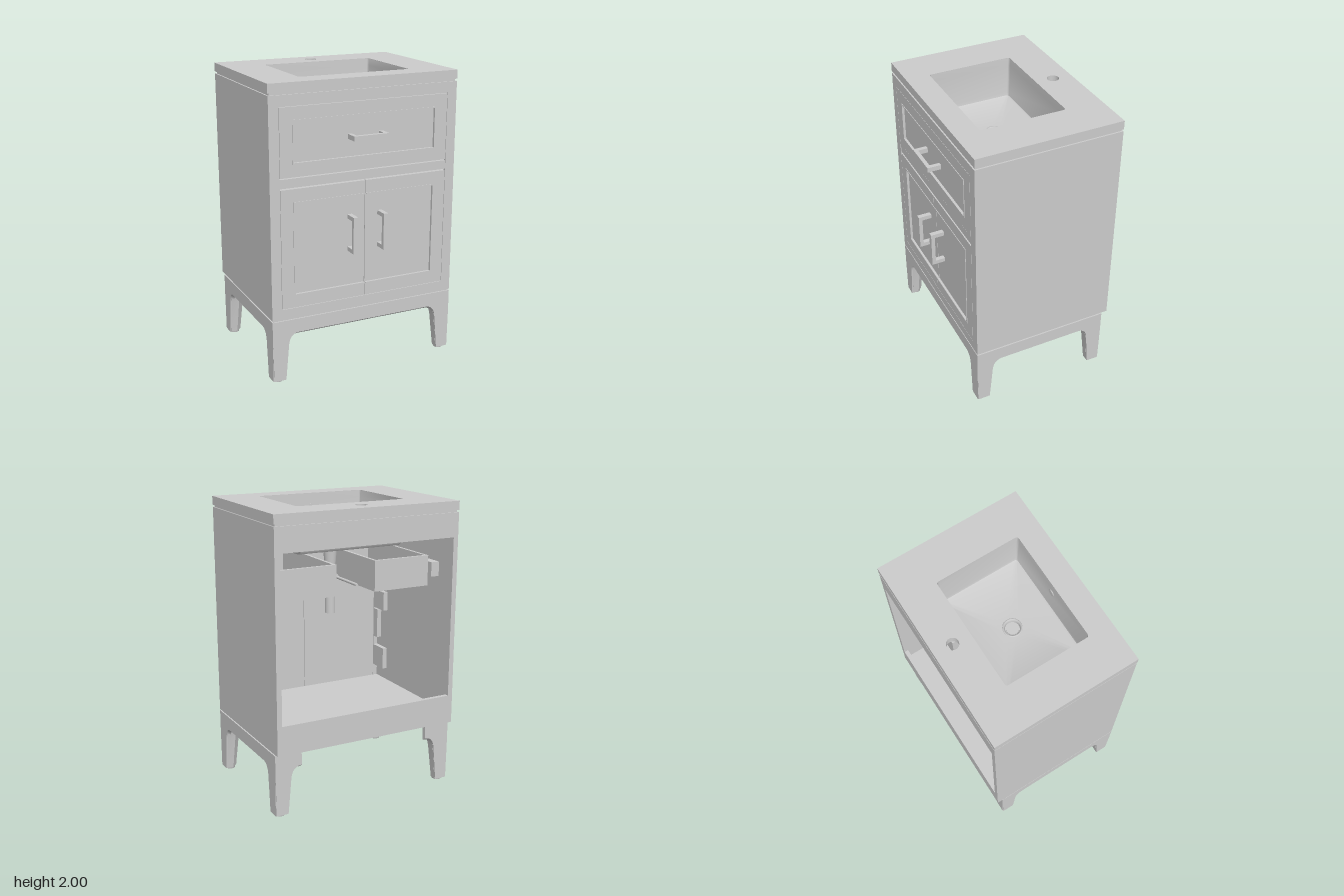
import * as THREE from 'three';
import { toCreasedNormals } from 'three/addons/utils/BufferGeometryUtils.js';

const mat = new THREE.MeshStandardMaterial({ color: 0xcccccc, side: THREE.DoubleSide });

function add(parent, name, geometry) {
  const mesh = new THREE.Mesh(geometry, mat);
  mesh.name = name;
  parent.add(mesh);
  return mesh;
}

// Box given by its limits on each axis
function box(parent, name, x0, x1, y0, y1, z0, z1) {
  const g = new THREE.BoxGeometry(x1 - x0, y1 - y0, z1 - z0);
  g.translate((x0 + x1) / 2, (y0 + y1) / 2, (z0 + z1) / 2);
  return add(parent, name, g);
}

function cylinder(parent, name, r0, r1, y0, y1, x = 0, z = 0) {
  const g = new THREE.CylinderGeometry(r1, r0, y1 - y0, 24);
  g.translate(x, (y0 + y1) / 2, z);
  return add(parent, name, g);
}

const poly = pts => new THREE.Shape(pts.map(p => new THREE.Vector2(...p)));
const rect = (x0, x1, y0, y1) => poly([[x0, y0], [x1, y0], [x1, y1], [x0, y1]]);
const extrude = (shape, depth) =>
  new THREE.ExtrudeGeometry(shape, { depth, bevelEnabled: false, curveSegments: 16 });

// Flat horizontal plate: shape is drawn in x and -z, rising from y0
const flat = (shape, y0, y1) => extrude(shape, y1 - y0).rotateX(-Math.PI / 2).translate(0, y0, 0);

// Rounded rectangle ring, used as a cross-section
function ring(hw, hd, r, y, cz) {
  const pts = [];
  [[1, 1], [-1, 1], [-1, -1], [1, -1]].forEach(([sx, sz], c) => {
    for (let i = 0; i <= 8; i++) {
      const a = (c + i / 8) * Math.PI / 2;
      pts.push([sx * (hw - r) + r * Math.cos(a), y, cz + sz * (hd - r) + r * Math.sin(a)]);
    }
  });
  return pts;
}

// Skin over equal-length closed cross-sections
function loft(rings, crease = 0.6) {
  const n = rings[0].length, index = [];
  for (let j = 0; j < rings.length - 1; j++) {
    for (let i = 0; i < n; i++) {
      const a = j * n + i, b = j * n + (i + 1) % n;
      index.push(a, b, a + n, b, b + n, a + n);
    }
  }
  const g = new THREE.BufferGeometry();
  g.setAttribute('position', new THREE.Float32BufferAttribute(rings.flat(2), 3));
  g.setIndex(index);
  return toCreasedNormals(g, crease);
}

// C-shaped pull in the x-y plane, standing out along +y
const pull = () => extrude(poly([[-0.125, 0], [-0.125, 0.08], [0.125, 0.08], [0.125, 0],
  [0.097, 0], [0.097, 0.054], [-0.097, 0.054], [-0.097, 0]]), 0.032).translate(0, 0, -0.016);

// Apron along x with a sloped underside, its outer face at z = 0
const apron = length => extrude(poly([[0, 0.44], [0, 0.345], [-0.03, 0.325], [-0.03, 0.44]]), length)
  .translate(0, 0, -length / 2).rotateY(-Math.PI / 2);

// Leg bracket along +x whose arch drops towards the inside
function bracket() {
  const s = new THREE.Shape();
  s.moveTo(0.006, 0.015);
  s.lineTo(0.09, 0.015);
  s.lineTo(0.113, 0.26);
  s.quadraticCurveTo(0.12, 0.345, 0.19, 0.345);
  s.lineTo(0.19, 0.44);
  s.lineTo(0, 0.44);
  s.lineTo(0, 0.3);
  const g = extrude(s, 0.03), p = g.attributes.position;
  for (let i = 0; i < p.count; i++) {
    const y = p.getY(i);
    if (p.getZ(i) > 0.02 && p.getX(i) > 0.05 && y > 0.26 && y < 0.4) p.setY(i, y - 0.02 * (y - 0.26) / 0.085);
  }
  g.computeVertexNormals();
  return g;
}

// Leg filling the corner at the origin
function makeLeg() {
  const leg = new THREE.Group();
  leg.name = 'leg';
  add(leg, 'legBracket', bracket());
  // The second bracket is the first one turned onto the z axis, reversed in depth
  const side = bracket().rotateY(-Math.PI / 2);
  const p = side.attributes.position;
  for (let i = 0; i < p.count; i++) p.setX(i, -p.getX(i));
  for (let i = 0; i < p.count; i += 3) {
    const a = new THREE.Vector3().fromBufferAttribute(p, i), b = new THREE.Vector3().fromBufferAttribute(p, i + 1);
    p.setXYZ(i, b.x, b.y, b.z);
    p.setXYZ(i + 1, a.x, a.y, a.z);
  }
  side.computeVertexNormals();
  add(leg, 'legBracket', side);
  const section = (w, y) => [[0.01, y, 0.01], [w, y, 0.01], [w, y, w * 0.6], [w * 0.6, y, w], [0.01, y, w]];
  const point = y => section(0.01, y).map(() => [0.04, y, 0.04]);
  add(leg, 'legCore', loft([point(0.016), section(0.091, 0.016), section(0.114, 0.26),
    section(0.122, 0.3), section(0.135, 0.325), point(0.326)], 0.2));
  // Chamfered block tying the corner together
  const block = poly([[0.02, -0.02], [0.15, -0.02], [0.15, -0.06], [0.06, -0.15], [0.02, -0.15]]);
  add(leg, 'cornerBlock', flat(block, 0.325, 0.436));
  cylinder(leg, 'footPad', 0.032, 0.036, 0, 0.018, 0.048, 0.048);
  return leg;
}

export function createModel() {
  const model = new THREE.Group();
  model.name = 'vanityCabinet';
  const front = 0.465, back = -0.54, cz = 0.0075;

  // Countertop with basin and tap openings
  const top = rect(-0.672, 0.672, -front, -back);
  top.holes.push(new THREE.Path(ring(0.395, 0.293, 0.015, 0, -cz).map(p => new THREE.Vector2(p[0], p[2]))));
  top.holes.push(new THREE.Path().absarc(0, 0.41, 0.04, 0, Math.PI * 2, true));
  add(model, 'countertop', flat(top, 1.94, 2));
  const spacer = rect(-0.66, 0.66, -0.455, 0.53);
  spacer.holes.push(rect(-0.636, 0.636, -0.425, 0.51));
  add(model, 'topSpacer', flat(spacer, 1.92, 1.942));

  // Basin: inner bowl running down to the drain, and outer shell
  add(model, 'basinBowl', loft([
    ring(0.395, 0.293, 0.015, 1.998, cz), ring(0.393, 0.291, 0.015, 1.95, cz), ring(0.388, 0.286, 0.018, 1.74, cz),
    ring(0.384, 0.282, 0.018, 1.72, cz), ring(0.372, 0.27, 0.018, 1.712, cz), ring(0.065, 0.065, 0.065, 1.704, 0.012)]));
  add(model, 'basinShell', loft([
    ring(0.065, 0.065, 0.065, 1.685, 0.012), ring(0.385, 0.283, 0.02, 1.69, cz),
    ring(0.4, 0.298, 0.025, 1.71, cz), ring(0.412, 0.31, 0.03, 1.942, cz)]));
  const overflow = cylinder(model, 'overflowRing', 0.025, 0.025, -0.004, 0.004);
  overflow.rotation.x = Math.PI / 2;
  overflow.position.set(0, 1.9, 0.297);

  // Drain flange, stopper, tail pipe and lift rod
  const flange = [[0.065, 1.704], [0.062, 1.711], [0.054, 1.711], [0.048, 1.695], [0.048, 1.66]];
  add(model, 'drainFlange', new THREE.LatheGeometry(flange.map(p => new THREE.Vector2(...p)), 32).translate(0, 0, 0.012));
  cylinder(model, 'drainStopper', 0.04, 0.042, 1.66, 1.694, 0, 0.012);
  cylinder(model, 'drainBody', 0.035, 0.05, 1.5, 1.68, 0, 0.012);
  cylinder(model, 'drainNut', 0.046, 0.046, 1.45, 1.52, 0, 0.012);
  cylinder(model, 'tailPipe', 0.036, 0.036, 1.2, 1.48, 0, 0.012);
  for (const [name, r, length] of [['liftRod', 0.01, 0.36], ['rodNut', 0.022, 0.07]]) {
    const rod = cylinder(model, name, r, r, 0, length);
    rod.rotation.x = -Math.PI / 2;
    rod.position.set(0, 1.47, 0);
  }

  // Carcass: floor, open back with rails, side panels
  box(model, 'cabinetFloor', -0.66, 0.66, 0.437, 0.53, -0.5, 0.455);
  box(model, 'backTopRail', -0.64, 0.64, 1.76, 1.925, back, back + 0.03);
  box(model, 'backBottomRail', -0.64, 0.64, 0.45, 0.65, back, back + 0.03);
  for (const s of [-1, 1]) {
    const side = box(model, 'sidePanel', -0.0175, 0.0175, 0.45, 1.925, back, front);
    side.position.x = s * 0.6525;
    const clip = box(model, 'topClip', -0.03, 0.03, 1.79, 1.84, -0.51, -0.43);
    clip.position.x = s * 0.606;
  }

  // Face frame with one opening, split by a slightly set-back rail
  const frame = rect(-0.65, 0.65, 0.45, 1.925);
  frame.holes.push(rect(-0.602, 0.602, 0.52, 1.852));
  add(model, 'faceFrame', extrude(frame, 0.04).translate(0, 0, front - 0.04));
  box(model, 'middleRail', -0.602, 0.602, 1.333, 1.393, front - 0.045, front - 0.004);

  // Drawer front: frame, bead and recessed panel
  const drawer = rect(-0.599, 0.599, 1.401, 1.849);
  drawer.holes.push(rect(-0.511, 0.511, 1.487, 1.764));
  add(model, 'drawerFront', extrude(drawer, 0.04).translate(0, 0, front - 0.04));
  const bead = rect(-0.514, 0.514, 1.484, 1.767);
  bead.holes.push(rect(-0.505, 0.505, 1.493, 1.758));
  add(model, 'drawerBead', extrude(bead, 0.024).translate(0, 0, front - 0.02));
  box(model, 'drawerPanel', -0.511, 0.511, 1.487, 1.764, front - 0.04, front - 0.013);
  add(model, 'drawerHandle', pull().rotateX(Math.PI / 2).translate(0, 1.625, front));
  for (const x of [-0.111, 0.111]) box(model, 'handleMount', x - 0.014, x + 0.014, 1.609, 1.641, front - 0.015, front);

  // Doors: panels run to the centre split
  const cShape = (s, x0, xi, xo, yo0, yi0, yi1, yo1) => poly([[x0, yo0], [xo, yo0], [xo, yo1], [x0, yo1],
    [x0, yi1], [xi, yi1], [xi, yi0], [x0, yi0]].map(([x, y]) => [s * x, y]));
  for (const s of [-1, 1]) {
    const door = new THREE.Group();
    door.name = s > 0 ? 'leftDoor' : 'rightDoor';
    model.add(door);
    add(door, 'doorFrame', extrude(cShape(s, 0.002, 0.511, 0.599, 0.523, 0.609, 1.236, 1.325), 0.04).translate(0, 0, front - 0.04));
    add(door, 'doorBead', extrude(cShape(s, 0.002, 0.505, 0.514, 0.606, 0.615, 1.23, 1.239), 0.024).translate(0, 0, front - 0.02));
    const panel = box(door, 'doorPanel', -0.2545, 0.2545, 0.609, 1.236, front - 0.04, front - 0.013);
    panel.position.x = s * 0.2565;
    add(door, 'doorHandle', pull().rotateX(Math.PI / 2).rotateZ(Math.PI / 2).translate(s * 0.11, 0.98, front));
    for (const y of [0.869, 1.091]) {
      const mount = box(door, 'handleMount', -0.016, 0.016, y - 0.014, y + 0.014, front - 0.015, front);
      mount.position.x = s * 0.11;
    }
    for (const [y0, y1, z0] of [[0.62, 0.78, 0.28], [0.85, 1.07, 0.37], [1.08, 1.22, 0.28]]) {
      const hinge = box(door, 'hinge', -0.018, 0.018, y0, y1, z0, 0.425);
      hinge.position.x = s * 0.618;
    }
  }

  // Split drawer boxes leaving room for the drain, with slides
  for (const s of [-1, 1]) {
    const tray = new THREE.Group();
    tray.name = 'drawerBox';
    tray.position.x = s * 0.355;
    model.add(tray);
    box(tray, 'drawerBottom', -0.21, 0.21, 1.405, 1.425, -0.35, 0.425);
    box(tray, 'drawerBack', -0.21, 0.21, 1.405, 1.615, -0.35, -0.33);
    for (const x of [-0.21, 0.19]) box(tray, 'drawerSide', x, x + 0.02, 1.405, 1.615, -0.33, 0.425);
    const slide = box(model, 'drawerSlide', -0.032, 0.032, 1.47, 1.57, -0.38, 0.42);
    slide.position.x = s * 0.605;
  }
  box(model, 'drawerBridge', -0.15, 0.15, 1.405, 1.615, 0.22, 0.425);

  // Base: four legs turned to the corners, aprons on front and sides
  [[-1, -0.5], [-1, front], [1, front], [1, -0.5]].forEach(([s, z], k) => {
    const leg = makeLeg();
    leg.position.set(s * 0.67, 0, z);
    leg.rotation.y = k * Math.PI / 2;
    model.add(leg);
  });
  add(model, 'frontApron', apron(0.964).translate(0, 0, front));
  for (const s of [-1, 1]) {
    add(model, 'sideApron', apron(0.589).rotateY(s * Math.PI / 2).translate(s * 0.67, 0, -0.0175));
    const cleat = box(model, 'sideCleat', -0.02, 0.02, 0.38, 0.438, -0.22, 0.19);
    cleat.position.x = s * 0.62;
  }
  box(model, 'frontCleatStrip', -0.5, 0.5, 0.4, 0.438, 0.41, 0.436);
  for (const x of [-0.36, 0, 0.36]) box(model, 'frontCleat', x - 0.07, x + 0.07, 0.37, 0.438, 0.385, 0.436);

  return model;
}
